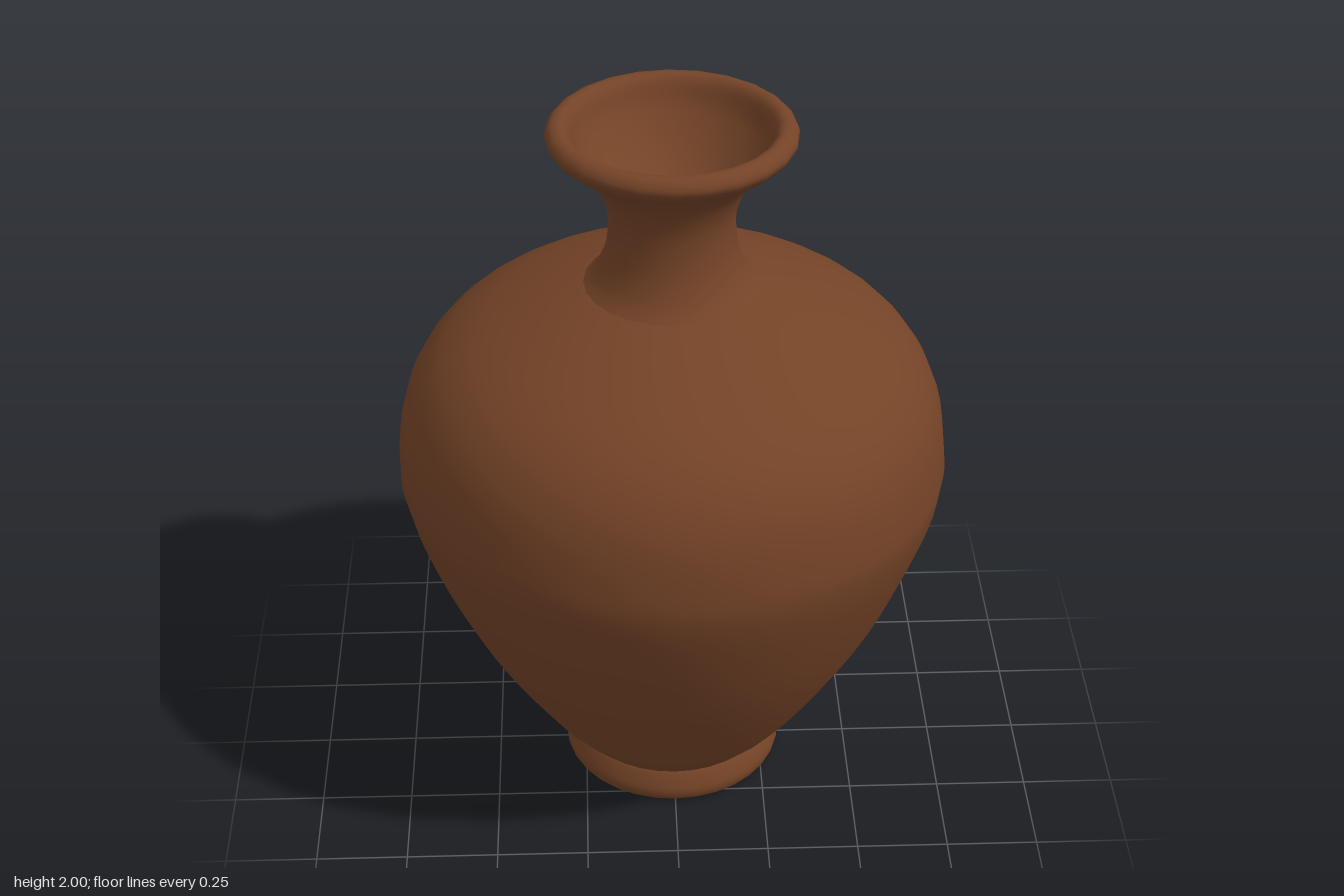
import * as THREE from 'three';

const clay = new THREE.MeshStandardMaterial({ color: 0x744327 });
clay.name = 'terracotta';

// Turn a smoothed [radius, height] profile around the y axis
function turned(name, profile, segments, samples) {
  const curve = new THREE.SplineCurve(profile.map(([r, y]) => new THREE.Vector2(r, y)));
  const points = curve.getPoints(samples);
  points.forEach((p) => { p.x = Math.max(p.x, 0); p.y = Math.max(p.y, 0); });
  const mesh = new THREE.Mesh(new THREE.LatheGeometry(points, segments), clay);
  mesh.name = name;
  return mesh;
}

export function createModel() {
  const vase = new THREE.Group();
  vase.name = 'vase';

  // Flat underside
  const base = new THREE.Mesh(new THREE.CircleGeometry(0.285, 32), clay);
  base.name = 'base';
  base.rotation.x = Math.PI / 2;
  base.position.y = 0.004;
  vase.add(base);

  // Rounded foot ring
  vase.add(turned('foot', [
    [0.28, 0], [0.3, 0.012], [0.307, 0.04], [0.298, 0.07], [0.283, 0.1], [0.265, 0.112],
  ], 32, 15));

  // Broad-shouldered belly
  vase.add(turned('body', [
    [0.275, 0.09], [0.37, 0.2], [0.5, 0.4], [0.605, 0.6], [0.685, 0.8], [0.73, 0.95],
    [0.735, 1.05], [0.71, 1.2], [0.645, 1.32], [0.54, 1.41], [0.38, 1.49], [0.24, 1.54], [0.19, 1.55],
  ], 36, 36));

  // Flared neck, rolled lip and the closed hollow of the mouth
  vase.add(turned('neckAndMouth', [
    [0.245, 1.53], [0.205, 1.57], [0.177, 1.63], [0.165, 1.7], [0.169, 1.77], [0.198, 1.84],
    [0.25, 1.895], [0.305, 1.94], [0.321, 1.968], [0.308, 1.992], [0.283, 1.998], [0.262, 1.98],
    [0.238, 1.925], [0.19, 1.865], [0.13, 1.815], [0.06, 1.785], [0, 1.78],
  ], 24, 64));

  return vase;
}
